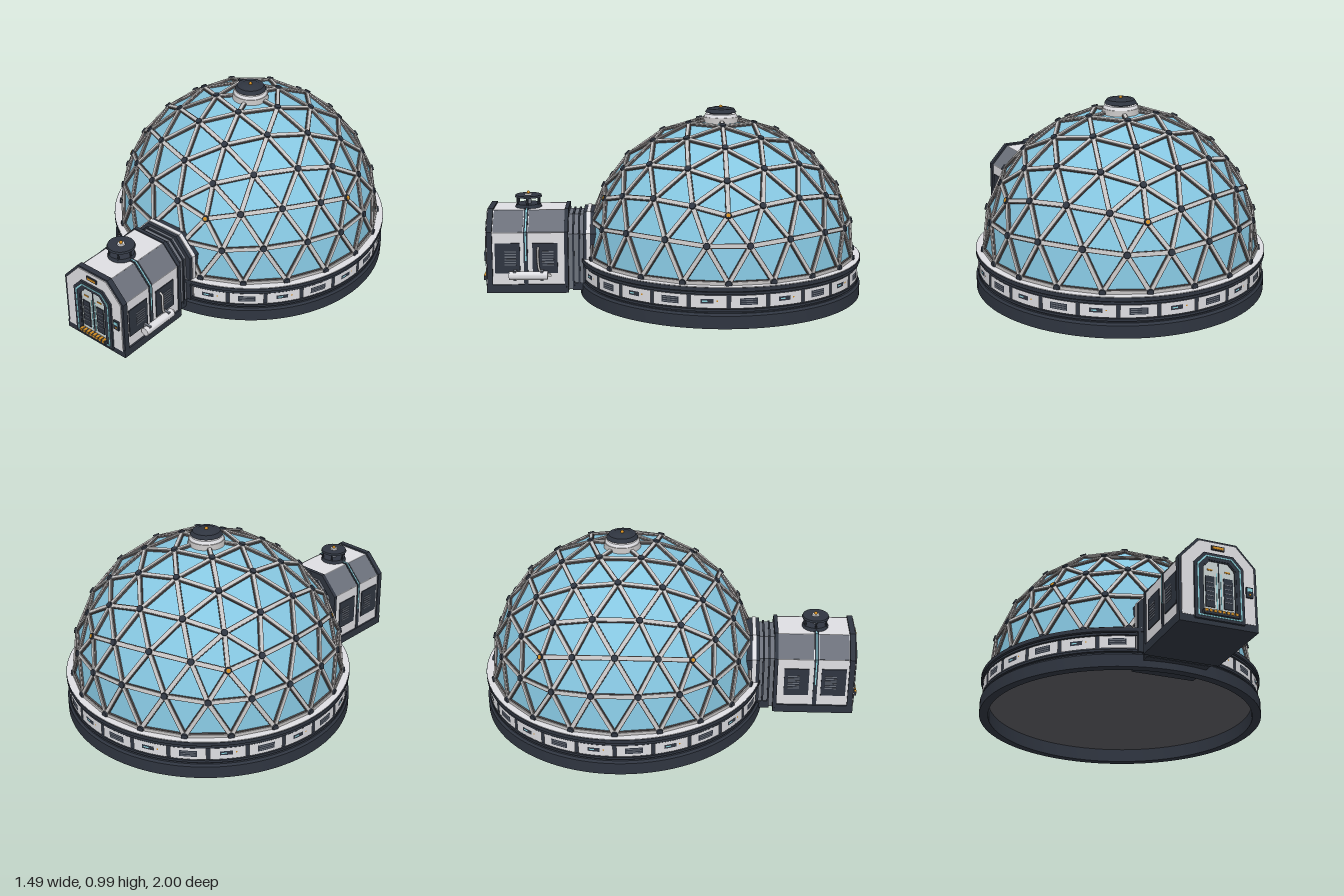
import * as THREE from 'three';
import { mergeGeometries, toCreasedNormals } from 'three/addons/utils/BufferGeometryUtils.js';

const mat = (name, color) => Object.assign(new THREE.MeshStandardMaterial({ color }), { name });

export function createModel() {
  const glass = mat('glass', 0x86c6e0), light = mat('light panel', 0xdedee2), strut = mat('strut grey', 0xc6c4c4);
  const dark = mat('dark metal', 0x2f3540), mid = mat('mid grey', 0x6c717b), seal = mat('strut seal', 0x575252);
  const floorMat = mat('floor', 0x5d5d62), orange = mat('orange', 0xd18c22), cyan = mat('cyan', 0x8ad4de);
  const doorMat = mat('door', 0xc9d2d3);

  const model = new THREE.Group();
  const add = (parent, name, geo, material, x = 0, y = 0, z = 0) => {
    const m = new THREE.Mesh(geo, material);
    m.name = name;
    m.position.set(x, y, z);
    parent.add(m);
    return m;
  };
  const group = (name, parent = model) => {
    const g = new THREE.Group();
    g.name = name;
    parent.add(g);
    return g;
  };
  const box = (p, name, m, w, h, d, x, y, z) => add(p, name, new THREE.BoxGeometry(w, h, d), m, x, y, z);
  const cyl = (p, name, m, rt, rb, y0, y1, x = 0, z = 0, n = 32) =>
    add(p, name, toCreasedNormals(new THREE.CylinderGeometry(rt, rb, y1 - y0, n), 0.6), m, x, (y0 + y1) / 2, z);
  const ring = (p, name, m, pts) => add(p, name,
    toCreasedNormals(new THREE.LatheGeometry(pts.map(q => new THREE.Vector2(...q)), 96), 0.5), m);

  // Everything round sits on the dome axis
  const dome = group('dome');
  dome.position.z = -0.254;

  // Foundation with a recessed floor, wall band, upper rings
  ring(dome, 'foundation', dark, [[0.7, 0.076], [0.7, 0], [0.746, 0], [0.746, 0.064], [0.737, 0.075], [0.7, 0.076]]);
  const floor = add(dome, 'floor', new THREE.CircleGeometry(0.705, 96), floorMat, 0, 0.072, 0);
  floor.rotation.x = Math.PI / 2;
  ring(dome, 'wallBand', dark, [[0.72, 0.07], [0.727, 0.07], [0.727, 0.19], [0.72, 0.19]]);
  ring(dome, 'lowerTrim', dark, [[0.72, 0.083], [0.737, 0.083], [0.737, 0.095], [0.72, 0.095]]);
  ring(dome, 'upperTrim', dark, [[0.72, 0.168], [0.739, 0.168], [0.739, 0.18], [0.72, 0.18]]);
  ring(dome, 'upperRing', dark, [[0.72, 0.185], [0.746, 0.185], [0.746, 0.204], [0.72, 0.204]]);
  ring(dome, 'ledge', light, [[0.743, 0.203], [0.743, 0.2065], [0.67, 0.2065]]);

  // Wall panels with alternating vents and displays
  for (let i = 0; i < 24; i++) {
    const p = group('wallPanel', dome);
    p.rotation.y = (i + 0.5) * Math.PI / 12;
    const curved = (name, m, r, y, h, c, w) => add(p, name,
      new THREE.CylinderGeometry(r, r, h, 5, 1, true, c - w / 2, w), m, 0, y, 0);
    curved('panel', light, 0.735, 0.132, 0.064, 0, 0.238);
    if (i % 2 === 0) {
      curved('ventFrame', dark, 0.7365, 0.133, 0.034, 0, 0.12);
      for (let k = -1; k < 2; k++) curved('slat', mid, 0.7375, 0.133 + k * 0.01, 0.004, 0, 0.1);
    } else {
      curved('display', dark, 0.7365, 0.135, 0.022, -0.012, 0.085);
      curved('displayGlow', cyan, 0.7375, 0.135, 0.006, -0.025, 0.035);
      curved('indicator', orange, 0.7375, 0.137, 0.007, 0.055, 0.01);
    }
  }

  // Geodesic shell: upper half of a four-frequency icosphere, one vertex at the apex
  const R = 0.702;
  const shell = group('geodesicShell', dome);
  shell.position.y = 0.214;
  const ico = new THREE.IcosahedronGeometry(R, 3);
  ico.rotateZ(-Math.atan(2 / (1 + Math.sqrt(5))));
  const src = ico.attributes.position, kept = [], edges = new Map(), nodes = new Map();
  const key = v => v.toArray().map(n => Math.round(n * 1000) + 0).join();
  for (let i = 0; i < src.count; i += 3) {
    const t = [0, 1, 2].map(k => new THREE.Vector3().fromBufferAttribute(src, i + k));
    if (t.some(v => v.y < -0.001)) continue;
    t.forEach((v, k) => {
      kept.push(...v.toArray());
      const w = t[(k + 1) % 3];
      nodes.set(key(v), v);
      edges.set([key(v), key(w)].sort().join('|'), [v, w]);
    });
  }
  const shellGeo = new THREE.BufferGeometry();
  shellGeo.setAttribute('position', new THREE.Float32BufferAttribute(kept, 3));
  shellGeo.computeVertexNormals();
  add(shell, 'glassPanes', shellGeo, glass);

  // Struts: a grey bar on a slightly wider, shallow seal along every edge
  const seals = [], bars = [];
  for (const [a, b] of edges.values()) {
    const d = b.clone().sub(a), len = d.length(), c = a.clone().add(b).multiplyScalar(0.5);
    d.normalize();
    const n = c.clone().normalize(), s = n.clone().cross(d);
    const put = (list, w, h, off) => list.push(new THREE.BoxGeometry(w, h, len).applyMatrix4(
      new THREE.Matrix4().makeBasis(s, n, d).setPosition(c.clone().addScaledVector(n, off))));
    put(seals, 0.025, 0.014, 0.001);
    put(bars, 0.017, 0.012, 0.007);
  }
  add(shell, 'strutSeals', mergeGeometries(seals), seal);
  add(shell, 'strutBars', mergeGeometries(bars), strut);

  // Hubs at the joints, with flush lamps at the five-way joints
  const hubs = [], lamps = [], up = new THREE.Vector3(0, 1, 0);
  for (const v of nodes.values()) {
    const n = v.clone().normalize();
    const put = (list, r0, r1, h, off) => list.push(new THREE.CylinderGeometry(r0, r1, h, 12).applyMatrix4(
      new THREE.Matrix4().makeRotationFromQuaternion(new THREE.Quaternion().setFromUnitVectors(up, n))
        .setPosition(v.clone().addScaledVector(n, off))));
    put(hubs, 0.016, 0.022, 0.03, 0.004);
    if (Math.abs(n.y - Math.sqrt(0.2)) < 0.002) put(lamps, 0.01, 0.01, 0.004, 0.0185);
  }
  add(shell, 'hubs', mergeGeometries(hubs), dark);
  add(shell, 'hubLamps', mergeGeometries(lamps), orange);

  // Cap at the apex
  const cap = group('cap', dome);
  cyl(cap, 'capBase', strut, 0.092, 0.096, 0.9, 0.93);
  cyl(cap, 'capStep', light, 0.08, 0.088, 0.93, 0.945);
  cyl(cap, 'capNeck', dark, 0.06, 0.06, 0.945, 0.955);
  cyl(cap, 'capDisc', dark, 0.07, 0.082, 0.953, 0.972);
  cyl(cap, 'capTop', dark, 0.045, 0.055, 0.972, 0.978);
  add(cap, 'capLamp', new THREE.SphereGeometry(0.009, 12, 8), orange, 0, 0.981, 0);

  // Airlock pieces share a chamfered cross-section
  const arch = (w, y0, y1, c) => new THREE.Shape([[-w, y0], [w, y0], [w, y1 - c * 1.1], [w - c, y1], [c - w, y1], [-w, y1 - c * 1.1]]
    .map(q => new THREE.Vector2(...q)));
  const slab = (p, name, m, [w, y0, y1, c], z0, z1, hole) => {
    const s = arch(w, y0, y1, c);
    if (hole) s.holes.push(arch(...hole));
    return add(p, name, new THREE.ExtrudeGeometry(s, { depth: z1 - z0, bevelEnabled: false }), m, 0, 0, z0);
  };
  const airlock = group('airlock');

  // Tunnel, its sill under the floor and the collar against the dome
  box(airlock, 'sill', dark, 0.33, 0.04, 0.2, 0, 0.055, 0.42);
  slab(airlock, 'collar', dark, [0.188, 0.08, 0.44, 0.09], 0.385, 0.468);
  slab(airlock, 'collarStripe', light, [0.192, 0.1, 0.444, 0.09], 0.43, 0.45);
  slab(airlock, 'tunnel', mid, [0.16, 0.04, 0.425, 0.08], 0.45, 0.56);
  for (const z of [0.485, 0.515]) slab(airlock, 'tunnelRib', dark, [0.167, 0.036, 0.431, 0.082], z, z + 0.01);

  // Cabin body with bands
  slab(airlock, 'cabin', light, [0.187, 0.035, 0.452, 0.093], 0.555, 0.96);
  box(airlock, 'cabinFoot', dark, 0.392, 0.045, 0.415, 0, 0.0525, 0.7625);
  slab(airlock, 'rearBand', dark, [0.194, 0.032, 0.459, 0.095], 0.545, 0.565);
  slab(airlock, 'midBand', dark, [0.191, 0.05, 0.456, 0.094], 0.754, 0.776);
  slab(airlock, 'midGlow', cyan, [0.1925, 0.2, 0.4575, 0.0945], 0.762, 0.768);
  slab(airlock, 'frontBand', dark, [0.196, 0.03, 0.461, 0.096], 0.938, 0.967);
  slab(airlock, 'facade', light, [0.183, 0.065, 0.451, 0.09], 0.96, 0.972);

  for (const s of [-1, 1]) {
    // Grey roof slopes
    for (const [z, d] of [[0.658, 0.185], [0.857, 0.155]]) {
      const slope = box(airlock, 'roofSlope', mid, 0.134, 0.006, d, s * 0.1405, 0.401, z);
      slope.rotation.z = -s * Math.atan(1.1);
    }
    // Side vents
    for (const z of [0.665, 0.86]) {
      box(airlock, 'sideVent', dark, 0.01, 0.16, 0.13, s * 0.187, 0.215, z);
      for (let k = 0; k < 6; k++) box(airlock, 'sideSlat', mid, 0.004, 0.006, 0.06, s * 0.192, 0.18 + k * 0.014, z - 0.015);
    }
  }

  // Gas bottle and feed pipe on the left wall
  const bottle = cyl(airlock, 'bottle', light, 0.022, 0.022, -0.1, 0.1, 0, 0, 20);
  bottle.rotation.x = Math.PI / 2;
  bottle.position.set(0.219, 0.13, 0.75);
  for (const z of [0.68, 0.82]) box(airlock, 'bottleBracket', mid, 0.05, 0.05, 0.014, 0.208, 0.13, z);
  const pipe = new THREE.CatmullRomCurve3([[0.19, 0.27, 0.7], [0.205, 0.265, 0.7], [0.207, 0.2, 0.7], [0.207, 0.15, 0.69],
    [0.219, 0.13, 0.63], [0.219, 0.13, 0.66]].map(q => new THREE.Vector3(...q)));
  add(airlock, 'feedPipe', new THREE.TubeGeometry(pipe, 24, 0.006, 8), strut);

  // Door: frame, glowing line, leaves
  const door = group('door', airlock);
  slab(door, 'doorFrame', dark, [0.124, 0.052, 0.388, 0.05], 0.965, 0.982, [0.086, 0.075, 0.352, 0.036]);
  slab(door, 'doorGlow', cyan, [0.109, 0.066, 0.373, 0.044], 0.975, 0.9845, [0.103, 0.072, 0.367, 0.042]);
  slab(door, 'doorLeaves', doorMat, [0.088, 0.07, 0.354, 0.037], 0.965, 0.975);
  slab(door, 'innerFrame', dark, [0.09, 0.07, 0.356, 0.038], 0.965, 0.98, [0.078, 0.08, 0.347, 0.032]);
  box(door, 'seam', dark, 0.005, 0.26, 0.004, 0, 0.215, 0.976);
  for (const s of [-1, 1]) {
    box(door, 'seamGlow', cyan, 0.004, 0.18, 0.003, s * 0.011, 0.2, 0.976);
    box(door, 'doorVent', dark, 0.046, 0.155, 0.006, s * 0.046, 0.193, 0.976);
    for (let k = 0; k < 5; k++) box(door, 'doorSlat', mid, 0.036, 0.005, 0.003, s * 0.046, 0.15 + k * 0.022, 0.979);
    box(door, 'doorMark', orange, 0.026, 0.007, 0.004, s * 0.044, 0.303, 0.976);
  }
  // Threshold with hazard blocks
  box(door, 'threshold', dark, 0.175, 0.022, 0.035, 0, 0.083, 0.9805);
  for (let k = 0; k < 8; k++) box(door, 'hazardBlock', orange, 0.013, 0.013, 0.034, -0.075 + k * 0.0214, 0.089, 0.983);

  // Sign lamp and keypad
  box(airlock, 'signFrame', dark, 0.066, 0.022, 0.01, 0, 0.421, 0.973);
  box(airlock, 'signLamp', orange, 0.054, 0.012, 0.006, 0, 0.421, 0.977);
  box(airlock, 'keypad', dark, 0.034, 0.052, 0.014, 0.154, 0.222, 0.974);
  box(airlock, 'keypadScreen', cyan, 0.024, 0.016, 0.004, 0.154, 0.234, 0.981);
  box(airlock, 'keypadButton', orange, 0.008, 0.008, 0.004, 0.154, 0.21, 0.981);

  // Roof beacon: a caged stem under a flat roof
  const beacon = group('beacon', airlock);
  beacon.position.z = 0.762;
  cyl(beacon, 'beaconBase', dark, 0.064, 0.07, 0.452, 0.47);
  cyl(beacon, 'beaconStem', mid, 0.012, 0.016, 0.47, 0.512, 0, 0, 16);
  for (let k = 0; k < 6; k++) {
    const a = k * Math.PI / 3;
    cyl(beacon, 'cagePost', dark, 0.005, 0.005, 0.465, 0.508, Math.cos(a) * 0.063, Math.sin(a) * 0.063, 6);
  }
  cyl(beacon, 'beaconRoof', dark, 0.068, 0.072, 0.506, 0.516);
  cyl(beacon, 'beaconPlate', light, 0.018, 0.02, 0.516, 0.523, 0, 0, 16);
  add(beacon, 'beaconLamp', new THREE.SphereGeometry(0.009, 12, 8), orange, 0, 0.527, 0);

  return model;
}
